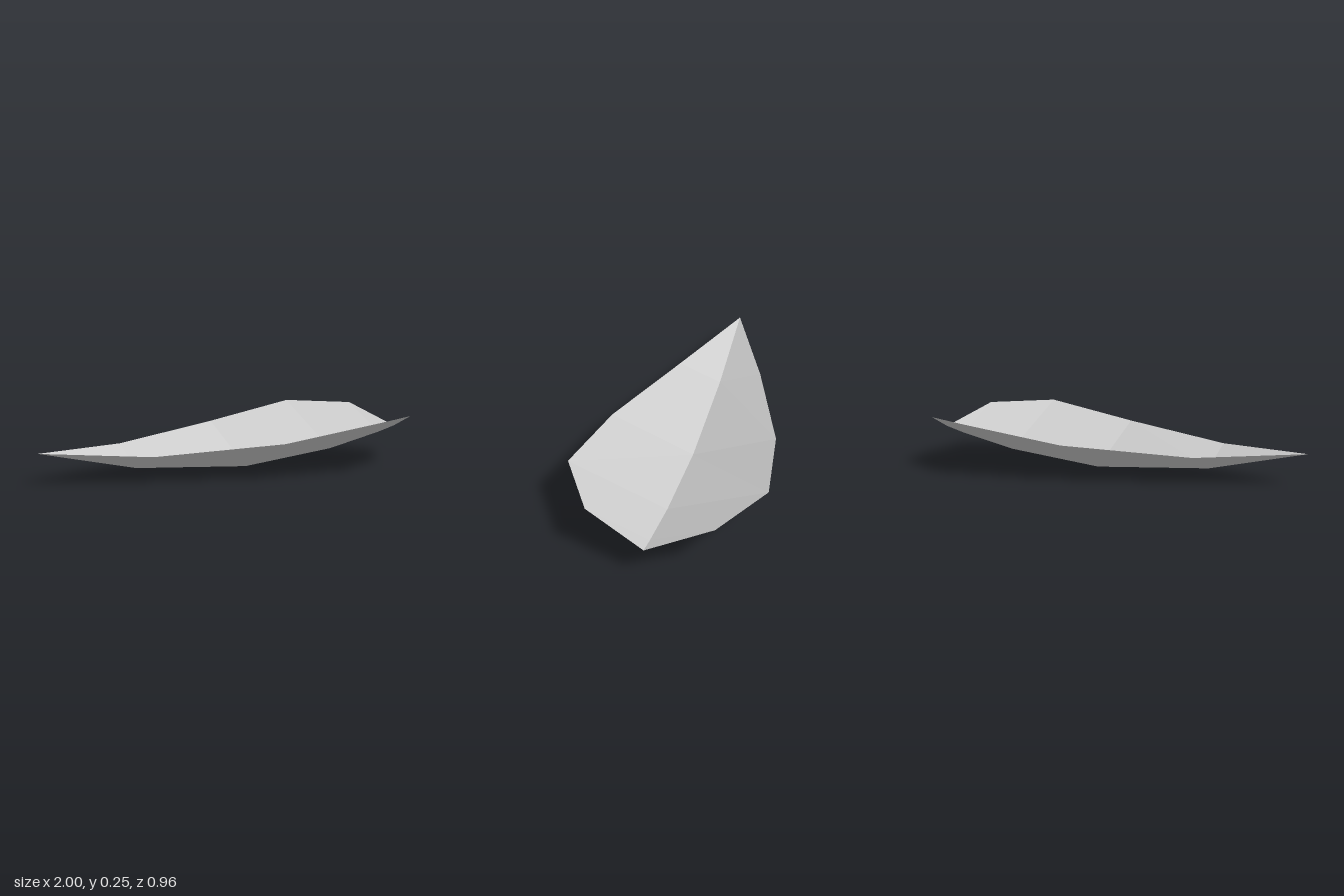
import * as THREE from 'three';

// Cross-sections from pointed tip to blunt base: [x, midrib height, edge height, half width]
const STATIONS = [
  [-1.0, 0.15, 0.15, 0],
  [-0.5, 0.04, 0.13, 0.22],
  [0.1, 0.0, 0.178, 0.42],
  [0.6, 0.055, 0.255, 0.48],
  [0.9, 0.122, 0.247, 0.3],
  [1.0, 0.15, 0.15, 0],
];

// One half of the folded blade; side is +1 (front) or -1 (back)
function halfBlade(side) {
  const points = [];
  const triangle = (a, b, c) => points.push(...a, ...(side > 0 ? [...b, ...c] : [...c, ...b]));
  for (let i = 0; i < STATIONS.length - 1; i++) {
    const [x0, rib0, edge0, w0] = STATIONS[i];
    const [x1, rib1, edge1, w1] = STATIONS[i + 1];
    const a = [x0, rib0, 0], b = [x0, edge0, side * w0];
    const c = [x1, edge1, side * w1], d = [x1, rib1, 0];
    if (w1 > 0) triangle(a, b === a ? d : c, d);
    if (w0 > 0) triangle(a, b, c);
  }
  const geometry = new THREE.BufferGeometry();
  geometry.setAttribute('position', new THREE.Float32BufferAttribute(points, 3));
  geometry.computeVertexNormals();
  return geometry;
}

export function createModel() {
  const leafGrey = new THREE.MeshStandardMaterial({
    name: 'leafGrey', color: 0xcccccc, flatShading: true, side: THREE.DoubleSide,
  });

  const leaf = new THREE.Group();
  leaf.name = 'leaf';
  for (const [name, side] of [['frontHalf', 1], ['backHalf', -1]]) {
    const half = new THREE.Mesh(halfBlade(side), leafGrey);
    half.name = name;
    leaf.add(half);
  }
  return leaf;
}
